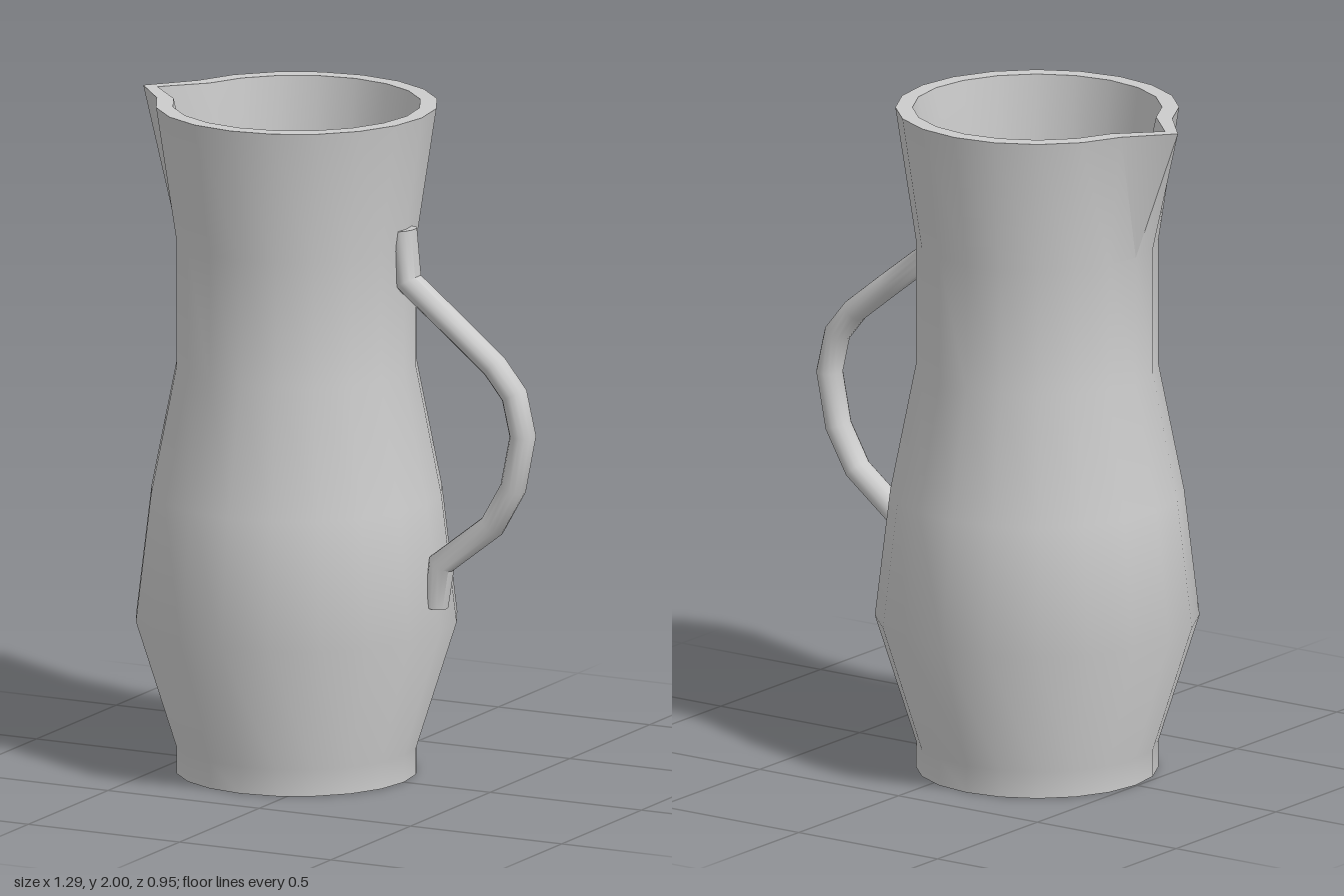
import * as THREE from 'three';
import { toCreasedNormals } from 'three/addons/utils/BufferGeometryUtils.js';

const material = new THREE.MeshStandardMaterial({ color: 0xcccccc });

// Hollow 20-sided vessel: recessed underside, outer wall, rim, inner wall, floor
function buildBody() {
  const profile = [
    [0, 0.03], [0.315, 0.03], [0.315, 0], [0.355, 0], [0.355, 0.08],
    [0.475, 0.46], [0.43, 0.84], [0.355, 1.22], [0.355, 1.6], [0.415, 2],
    [0.365, 2], [0.315, 1.6], [0.31, 1.22], [0.385, 0.84], [0.43, 0.46],
    [0.315, 0.08], [0, 0.08],
  ].map(([r, y]) => new THREE.Vector2(r, y));
  const geometry = new THREE.LatheGeometry(profile, 20);

  // Pull the rim's -x corner outward into a pointed spout
  const p = geometry.attributes.position;
  for (let i = 0; i < p.count; i++) {
    if (p.getY(i) < 1.99 || Math.abs(p.getZ(i)) > 0.01 || p.getX(i) > 0) continue;
    p.setX(i, p.getX(i) < -0.39 ? -0.507 : -0.46);
  }
  const mesh = new THREE.Mesh(toCreasedNormals(geometry, 0.6), material);
  mesh.name = 'jugBody';
  mesh.position.x = -0.14;
  return mesh;
}

// Oval section swept with mitred joints along a path in the xy plane
function buildHandle() {
  const path = [
    [0.215, 1.66], [0.23, 1.505], [0.39, 1.38], [0.515, 1.28], [0.58, 1.2],
    [0.608, 1.08], [0.576, 0.92], [0.507, 0.8], [0.34, 0.67], [0.319, 0.54],
  ].map(([x, y]) => new THREE.Vector2(x, y));
  const sides = 14, halfDepth = 0.037, halfWidth = 0.043;
  const positions = [], indices = [];

  path.forEach((c, i) => {
    const a = path[Math.max(i - 1, 0)], b = path[Math.min(i + 1, path.length - 1)];
    const before = (i ? c.clone().sub(a) : b.clone().sub(c)).normalize();
    const after = (b !== c ? b.clone().sub(c) : before.clone()).normalize();
    const t = before.clone().add(after).normalize();
    const stretch = halfDepth / t.dot(after);
    for (let j = 0; j < sides; j++) {
      const angle = (j / sides) * Math.PI * 2;
      const d = Math.cos(angle) * stretch;
      positions.push(c.x - t.y * d, c.y + t.x * d, Math.sin(angle) * halfWidth);
    }
  });
  for (let i = 0; i < path.length - 1; i++) {
    for (let j = 0; j < sides; j++) {
      const k = (j + 1) % sides, a = i * sides, b = a + sides;
      indices.push(a + j, a + k, b + j, a + k, b + k, b + j);
    }
  }
  // End caps
  const last = (path.length - 1) * sides;
  for (let j = 1; j < sides - 1; j++) {
    indices.push(0, j + 1, j, last, last + j, last + j + 1);
  }
  const geometry = new THREE.BufferGeometry();
  geometry.setAttribute('position', new THREE.Float32BufferAttribute(positions, 3));
  geometry.setIndex(indices);
  const mesh = new THREE.Mesh(toCreasedNormals(geometry, 0.7), material);
  mesh.name = 'handle';
  return mesh;
}

export function createModel() {
  const group = new THREE.Group();
  group.name = 'pitcher';
  group.add(buildBody(), buildHandle());
  return group;
}
